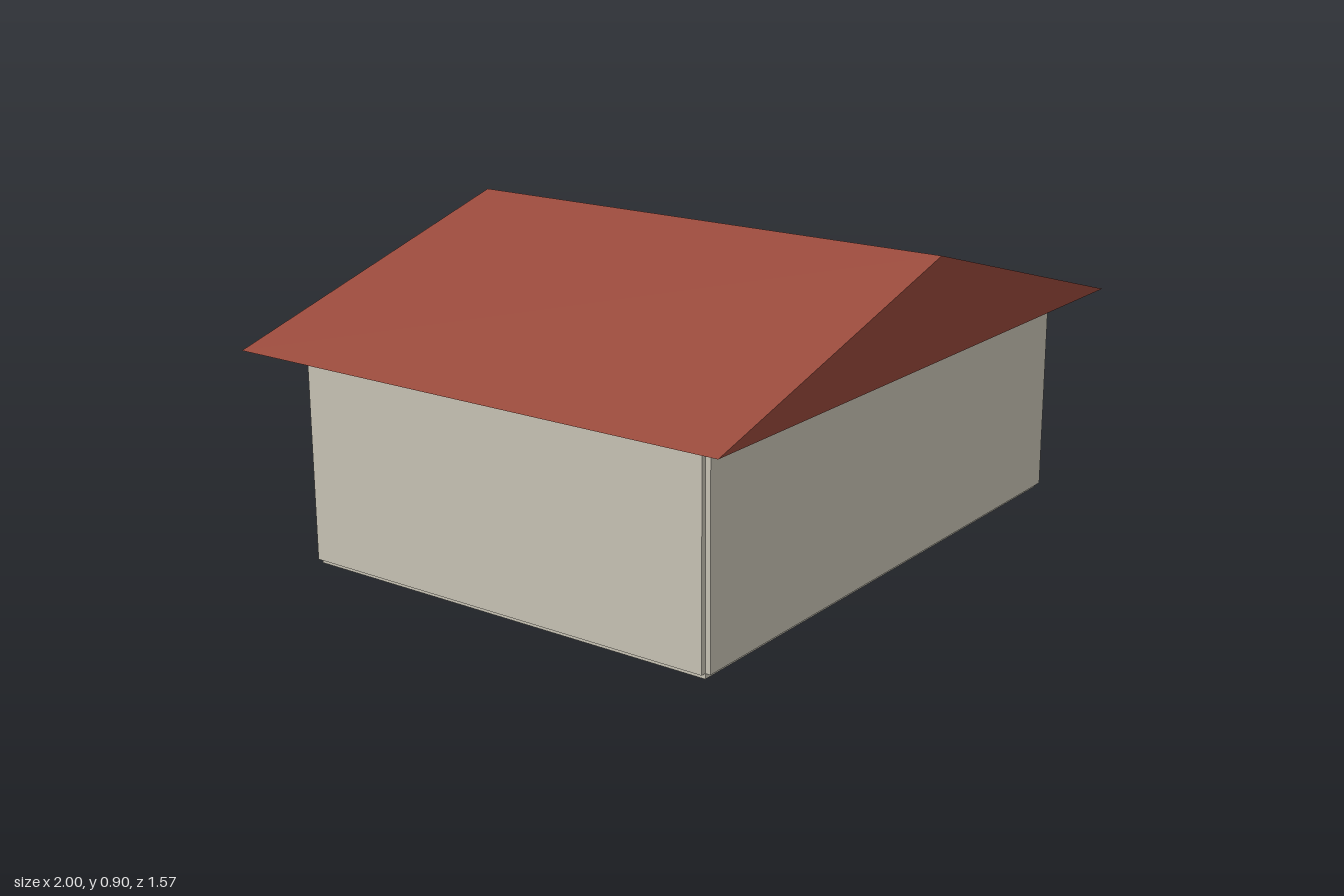
import * as THREE from 'three';

export function createModel() {
  const model = new THREE.Group();
  model.name = 'house';
  const wallMat = new THREE.MeshStandardMaterial({ color: 0xcfcabb });
  const roofMat = new THREE.MeshStandardMaterial({ color: 0x9a4a3c });

  // Walls: three crossed boxes leave a small notch along every edge
  const walls = new THREE.Group();
  walls.name = 'walls';
  const notch = 0.015, w = 1.77, d = 1.34, top = 0.635;
  const addBox = (name, width, depth, y0, y1) => {
    const mesh = new THREE.Mesh(new THREE.BoxGeometry(width, y1 - y0, depth), wallMat);
    mesh.position.y = (y0 + y1) / 2;
    mesh.name = name;
    walls.add(mesh);
  };
  addBox('sideWalls', w, d - 2 * notch, notch, top - notch);
  addBox('frontAndBackWalls', w - 2 * notch, d, notch, top - notch);
  addBox('floorSlab', w - 2 * notch, d - 2 * notch, 0, top);
  model.add(walls);

  // Roof: solid gable with its ridge running front to back
  const eave = 0.62, ridge = 0.905, length = 1.566;
  const gable = new THREE.Shape([
    new THREE.Vector2(-1, eave),
    new THREE.Vector2(1, eave),
    new THREE.Vector2(0, ridge),
  ]);
  const roofGeo = new THREE.ExtrudeGeometry(gable, { depth: length, bevelEnabled: false });
  roofGeo.translate(0, 0, -length / 2);
  const roof = new THREE.Mesh(roofGeo, roofMat);
  roof.name = 'roof';
  model.add(roof);

  return model;
}
